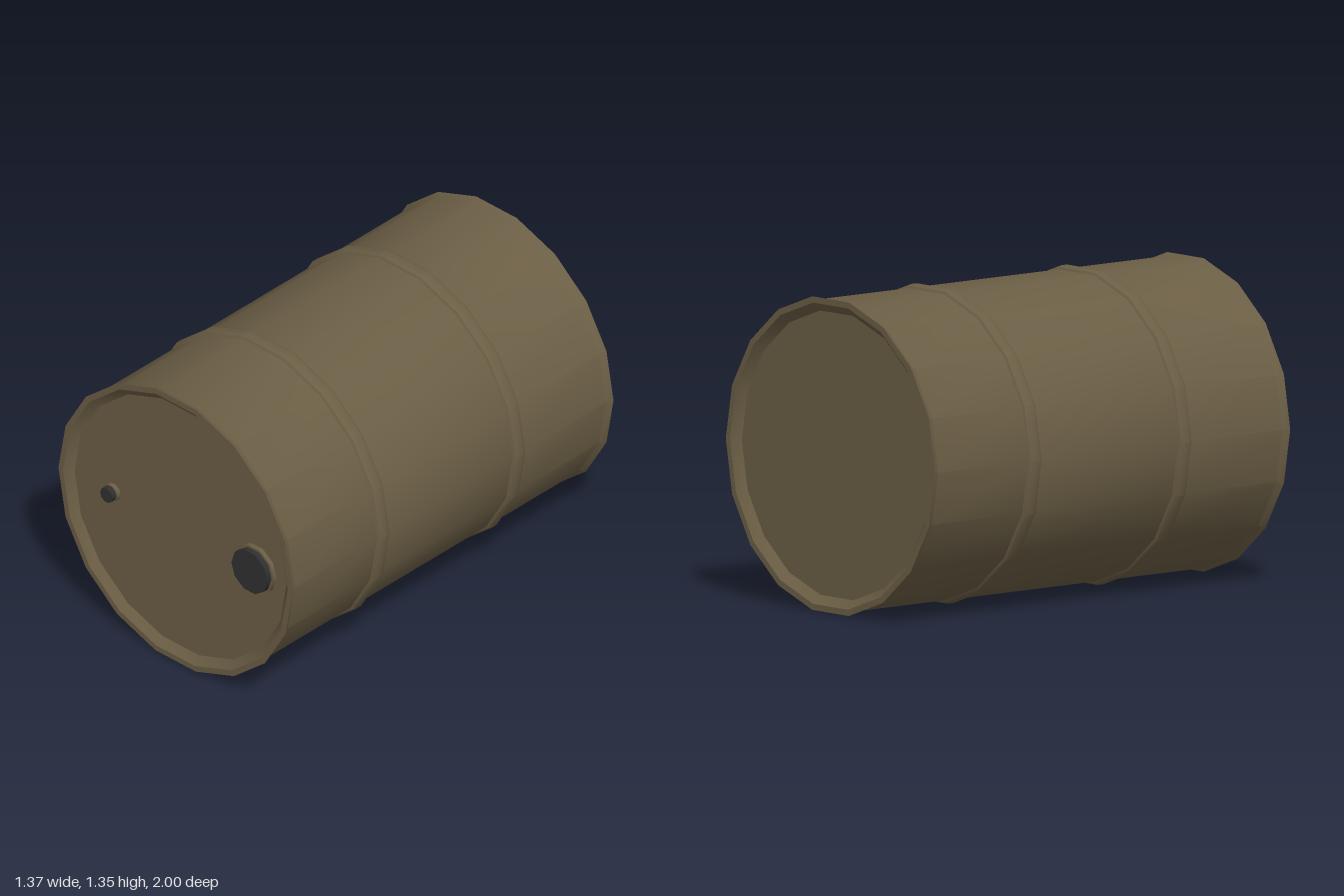
import * as THREE from 'three';
import { toCreasedNormals } from 'three/addons/utils/BufferGeometryUtils.js';

const SIDES = 18, AXIS_Y = 0.675, BODY_R = 0.668, RIM_R = 0.684;
const DEG = Math.PI / 180;

export function createModel() {
  const group = new THREE.Group();
  const paint = new THREE.MeshStandardMaterial({ color: 0x6b5e45 });
  const dark = new THREE.MeshStandardMaterial({ color: 0x303030 });

  function add(name, geometry, material, x = 0, z = 0) {
    const mesh = new THREE.Mesh(geometry, material);
    mesh.name = name;
    mesh.position.set(x, AXIS_Y, z);
    group.add(mesh);
  }

  // Rolling hoop bulging from the wall, centred at z
  const hoop = (z) => [
    [BODY_R, z - 0.036], [0.678, z - 0.03], [RIM_R, z - 0.016],
    [RIM_R, z + 0.016], [0.678, z + 0.03], [BODY_R, z + 0.036],
  ];

  // Drum shell: recessed ends, flared rims, wall and two hoops
  const profile = [
    [0, -0.965], [0.62, -0.965], [0.657, -1], [RIM_R, -1], [BODY_R, -0.97],
    ...hoop(-0.43), ...hoop(0.41),
    [BODY_R, 0.957], [RIM_R, 0.987], [0.657, 0.987], [0.62, 0.955], [0, 0.955],
  ].map(([r, z]) => new THREE.Vector2(r, z));
  const shell = new THREE.LatheGeometry(profile, SIDES, 10 * DEG).rotateX(90 * DEG);
  add('drumShell', toCreasedNormals(shell, 30 * DEG), paint);

  // Ten-sided disc lying on the front lid
  const disc = (r, depth) => toCreasedNormals(
    new THREE.CylinderGeometry(r, r, depth, 10, 1, false, 18 * DEG).rotateX(90 * DEG), 40 * DEG);

  // Large and small bungs, each seated in a painted collar
  for (const [name, x, r, collarR] of [
    ['largeBung', 0.445, 0.106, 0.117],
    ['smallBung', -0.392, 0.036, 0.041],
  ]) {
    add(name + 'Collar', disc(collarR, 0.03), paint, x, 0.96);
    add(name, disc(r, 0.05), dark, x, 0.975);
  }

  return group;
}
